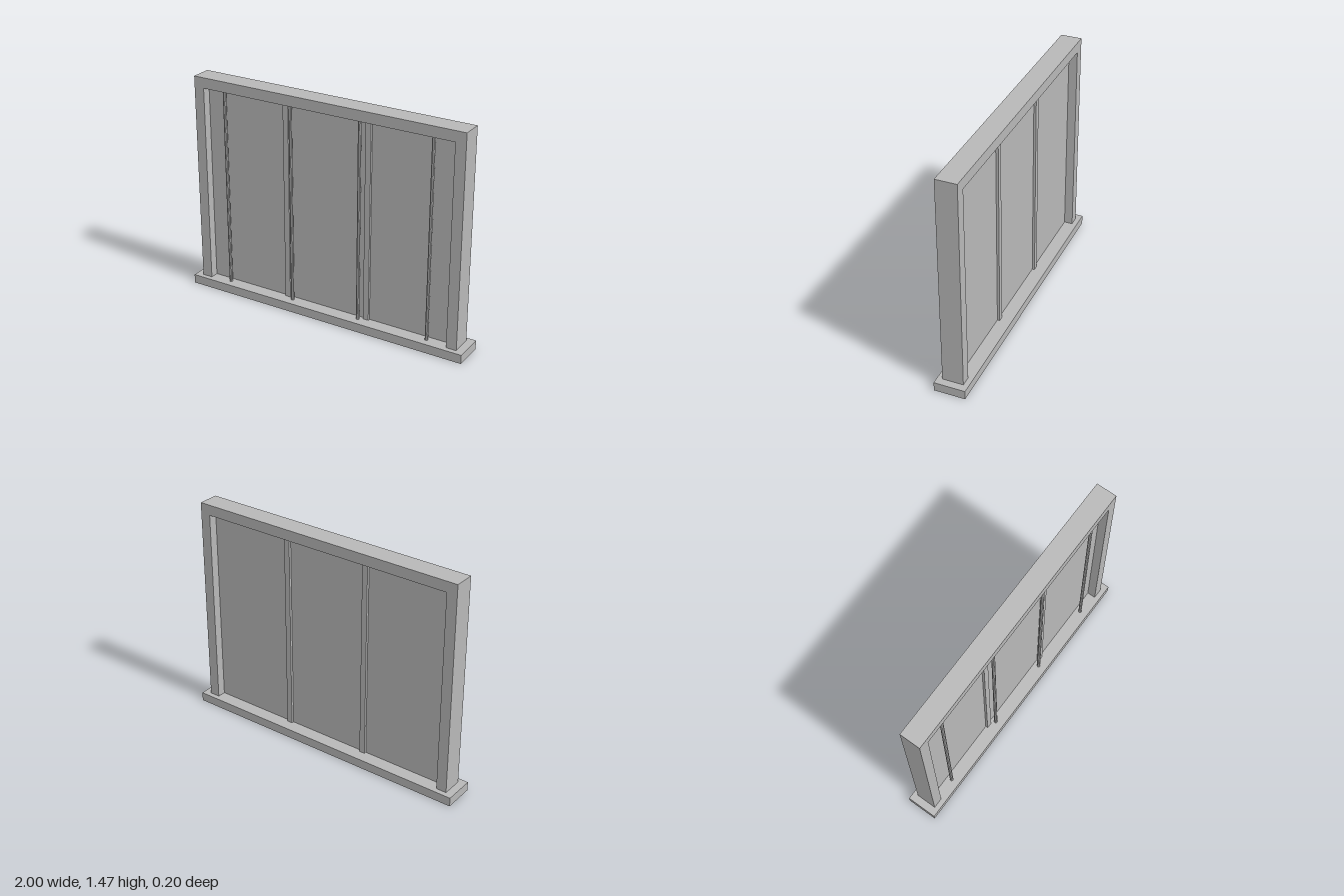
import * as THREE from 'three';

const grey = new THREE.MeshStandardMaterial({ color: 0xb8b8b8 });
grey.name = 'grey';

export function createModel() {
  const model = new THREE.Group();
  model.name = 'windowWall';

  const sillTop = 0.06, frameTop = 1.47, openingTop = 1.4;
  const openingHeight = openingTop - sillTop;
  const midY = (openingTop + sillTop) / 2;

  const add = (name, geometry, x, y, z) => {
    const mesh = new THREE.Mesh(geometry, grey);
    mesh.name = name;
    mesh.position.set(x, y, z);
    model.add(mesh);
  };

  // Base sill
  add('sill', new THREE.BoxGeometry(2, sillTop, 0.205), 0, sillTop / 2, 0);

  // One-piece frame: two jambs and a head
  const outline = new THREE.Shape([
    [-0.95, sillTop], [-0.88, sillTop], [-0.88, openingTop], [0.88, openingTop],
    [0.88, sillTop], [0.95, sillTop], [0.95, frameTop], [-0.95, frameTop],
  ].map(([x, y]) => new THREE.Vector2(x, y)));
  add('frame', new THREE.ExtrudeGeometry(outline, { depth: 0.138, bevelEnabled: false }), 0, 0, -0.069);

  // Thin infill panel
  add('panel', new THREE.BoxGeometry(1.76, openingHeight, 0.024), 0, midY, 0);

  // Mullions standing proud on both faces
  for (const side of [-1, 1]) {
    add('mullion', new THREE.BoxGeometry(0.038, openingHeight, 0.056), side * 0.293, midY, 0);
  }

  // Slim upright bars in front of the panel
  const barGeometry = new THREE.CylinderGeometry(0.011, 0.011, openingHeight, 8).toNonIndexed();
  barGeometry.computeVertexNormals();
  for (const x of [-0.735, -0.245, 0.245, 0.735]) add('bar', barGeometry, x, midY, 0.046);

  return model;
}
